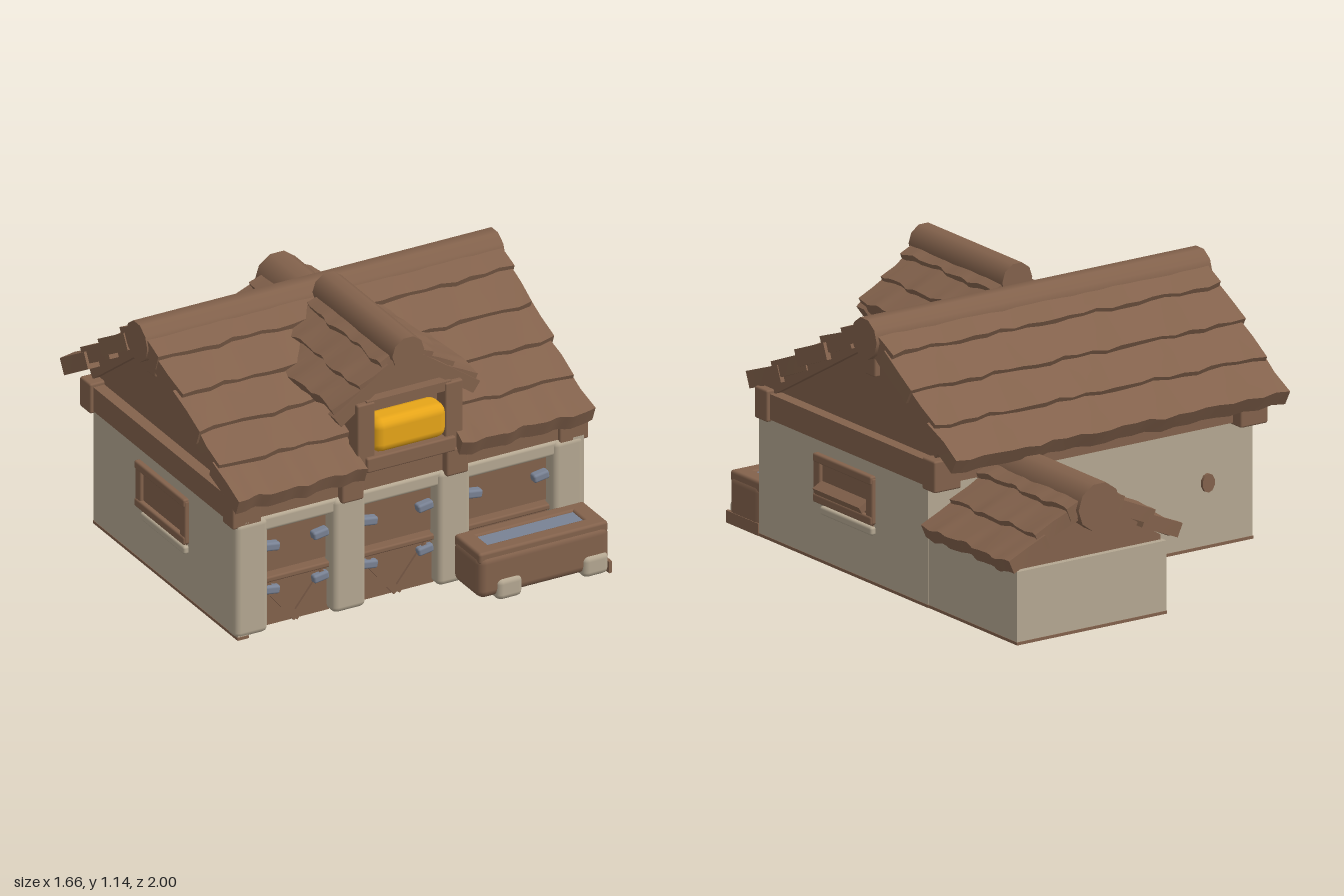
import * as THREE from 'three';
import { RoundedBoxGeometry } from 'three/addons/geometries/RoundedBoxGeometry.js';

const mat = (name, color) => Object.assign(new THREE.MeshStandardMaterial({ color }), { name });
const wood = mat('brown wood', 0x83624c);
const stone = mat('pale plaster', 0xb5a892);
const hay = mat('golden hay', 0xf0ac1a);
const metal = mat('blue grey metal', 0x798294);

const wave = (a, s) => Math.sin(a * 17 + s * 2.3) * 0.5 + Math.sin(a * 41 + s * 5.1) * 0.35 + Math.sin(a * 73 + s) * 0.15;

function add(parent, name, geometry, material, x = 0, y = 0, z = 0) {
  const m = new THREE.Mesh(geometry, material);
  m.name = name;
  m.position.set(x, y, z);
  parent.add(m);
  return m;
}

// Box given by its ranges; r > 0 rounds the edges
function box(parent, name, material, [x0, x1], [y0, y1], [z0, z1], r = 0) {
  const w = x1 - x0, h = y1 - y0, d = z1 - z0;
  const g = r ? new RoundedBoxGeometry(w, h, d, 2, r) : new THREE.BoxGeometry(w, h, d);
  return add(parent, name, g, material, (x0 + x1) / 2, (y0 + y1) / 2, (z0 + z1) / 2);
}

// Rough plank: long in x, its ragged lower edge at +z
function plankGeometry(len, t, depth, seed) {
  const g = new THREE.BoxGeometry(len, t, depth, 24, 1, 2);
  const p = g.attributes.position;
  for (let i = 0; i < p.count; i++) {
    const x = p.getX(i), k = p.getZ(i) / depth + 0.5;
    if (Math.abs(x) > len * 0.49) p.setX(i, x + Math.sign(x) * wave(k, seed) * 0.008);
    p.setY(i, p.getY(i) + wave(x, seed) * 0.007 * k);
    p.setZ(i, p.getZ(i) + wave(x, seed + 3) * 0.012 * k);
  }
  g.computeVertexNormals();
  return g;
}

// Gabled roof running along x; each side is [run, topY, eaveY, courses, gap],
// where gap is an x range left open in the lowest course
function roof(name, len, t, ridgeY, ridgeR, ridgeLen, sides) {
  const group = new THREE.Group();
  group.name = name;
  sides.forEach(([run, topY, eaveY, n, gap], s) => {
    const side = new THREE.Group();
    side.name = name + 'Side';
    side.rotation.y = s * Math.PI;
    for (let i = 0; i < n; i++) {
      const z0 = Math.max(0, (i - 0.3) / n) * run, z1 = (i + 1) / n * run;
      const at = z => topY + (eaveY - topY) * z / run;
      const y0 = at(z0) - 0.025, y1 = at(z1) + 0.006;
      const half = len / 2 - 0.008 * ((i + s) % 2);
      const spans = gap && i === n - 1 ? [[-half, gap[0]], [gap[1], half]] : [[-half, half]];
      for (const [a, b] of spans) {
        const m = add(side, 'shinglePlank', plankGeometry(b - a, t, Math.hypot(y1 - y0, z1 - z0), i + s * 7 + a),
          wood, (a + b) / 2, (y0 + y1) / 2 - t / 2, (z0 + z1) / 2);
        m.rotation.x = Math.atan2(y0 - y1, z1 - z0);
      }
    }
    group.add(side);
  });
  const ridge = new THREE.CylinderGeometry(ridgeR, ridgeR, ridgeLen, 10, 8).rotateZ(Math.PI / 2);
  add(group, 'ridgeLog', ridge, wood, 0, ridgeY, 0);
  return group;
}

// Flat wall cut to an outline, extruded forward
function panel(points, depth) {
  return new THREE.ExtrudeGeometry(new THREE.Shape(points.map(p => new THREE.Vector2(...p))), { depth, bevelEnabled: false });
}

function mainHouse(g) {
  // Side walls with timber lining inside, open underneath
  for (const s of [-1, 1]) {
    const xr = (a, b) => s > 0 ? [a, b] : [-b, -a];
    box(g, 'sideWall', stone, xr(0.73, 0.778), [0.012, 0.51], [-0.365, 0.78]);
    box(g, 'wallLining', wood, xr(0.71, 0.73), [0, 0.51], [-0.33, 0.74]);
    box(g, 'groundSill', wood, xr(0.73, 0.78), [0, 0.012], [-0.368, 0.783]);
    box(g, 'sideBeam', wood, xr(0.7, 0.785), [0.5, 0.605], [-0.4, 0.74]);
    for (const z of [-0.4, 0.735]) box(g, 'beamEnd', wood, xr(0.67, 0.8), [0.49, 0.62], [z - 0.04, z + 0.045], 0.008);
    // Recessed gable with king post and rafters
    const outline = [[0.4, 0.58], [-0.76, 0.58], [-0.76, 0.62], [-0.05, 1.01], [0.4, 0.71]];
    add(g, 'gable', panel(outline, 0.04), wood, s > 0 ? 0.695 : -0.735).rotation.y = Math.PI / 2;
    box(g, 'kingPost', wood, xr(0.72, 0.76), [0.84, 1], [0.02, 0.09], 0.008);
    for (const [z, y, l, a] of [[0.42, 0.79, 0.84, 0.515], [-0.19, 0.81, 0.56, -0.64]]) {
      const rafter = box(g, 'gableRafter', wood, xr(0.72, 0.765), [y - 0.03, y + 0.03], [z - l / 2, z + l / 2]);
      rafter.rotation.x = a;
    }
  }
  box(g, 'backWall', stone, [-0.775, 0.775], [0.012, 0.51], [-0.365, -0.33]);
  box(g, 'backLining', wood, [-0.73, 0.73], [0, 0.51], [-0.33, -0.315]);
  box(g, 'backSill', wood, [-0.778, 0.778], [0, 0.012], [-0.368, -0.33]);
  box(g, 'backBeam', wood, [-0.77, 0.77], [0.5, 0.605], [-0.385, -0.31]);
  const peg = add(g, 'backWallPeg', new THREE.CylinderGeometry(0.03, 0.03, 0.02, 10).rotateX(Math.PI / 2), wood, -0.56, 0.27, -0.368);
  peg.scale.y = 1.3;

  // Front pillars, lintel and beams
  for (const [a, b] of [[-0.79, -0.64], [-0.35, -0.2], [0.12, 0.27], [0.64, 0.778]]) {
    box(g, 'frontPillar', stone, [a, b], [0.005, 0.51], [0.7, 0.785], 0.025);
  }
  box(g, 'lintel', stone, [-0.77, 0.77], [0.445, 0.51], [0.71, 0.775], 0.015);
  box(g, 'frontBeam', wood, [-0.77, 0.77], [0.505, 0.61], [0.7, 0.765]);
  for (const x of [-0.27, 0.2]) box(g, 'frontBracket', wood, [x - 0.05, x + 0.05], [0.49, 0.61], [0.72, 0.8], 0.01);

  // Split stall doors with rounded backs, braces and hinges
  for (const [a, b] of [[-0.65, -0.34], [-0.21, 0.13], [0.26, 0.65]]) {
    const mid = (a + b) / 2, w = b - a;
    box(g, 'stallBack', wood, [mid - 0.23, mid + 0.23], [0, 0.5], [0.54, 0.7], 0.05);
    box(g, 'upperDoor', wood, [a, b], [0.235, 0.46], [0.69, 0.72]);
    box(g, 'lowerDoor', wood, [a, b], [0.005, 0.215], [0.69, 0.73]);
    box(g, 'doorCap', wood, [a, b], [0.2, 0.225], [0.69, 0.75], 0.008);
    for (const s of [-1, 1]) {
      const bx = mid + s * w * 0.2;
      box(g, 'doorBrace', wood, [bx - 0.11, bx + 0.11], [0.08, 0.115], [0.725, 0.74]).rotation.z = s * 0.9;
      for (const y of [0.165, 0.355]) {
        const x = mid + s * (w / 2 - 0.045);
        box(g, 'hinge', metal, [x - 0.035, x + 0.035], [y - 0.018, y + 0.018], [0.715, 0.755], 0.01).rotation.z = s * 0.15;
      }
    }
  }

  // Side windows with frame, sill and shutter
  for (const s of [-1, 1]) {
    const win = new THREE.Group();
    win.name = 'sideWindow';
    box(win, 'windowPanel', wood, [0.772, 0.782], [0.24, 0.44], [0, 0.38]);
    for (const y of [0.265, 0.43]) box(win, 'windowRail', wood, [0.772, 0.802], [y - 0.018, y + 0.018], [-0.01, 0.385], 0.008);
    for (const z of [0.01, 0.365]) box(win, 'windowJamb', wood, [0.772, 0.797], [0.25, 0.44], [z - 0.022, z + 0.022], 0.008);
    box(win, 'windowSill', stone, [0.768, 0.8], [0.205, 0.24], [-0.01, 0.34], 0.01);
    if (s > 0) box(win, 'openShutter', wood, [0.775, 0.825], [0.3, 0.33], [0.03, 0.345]).rotation.z = -0.5;
    else {
      win.rotation.y = Math.PI;
      win.position.z = 0.38;
    }
    g.add(win);
  }

  const r = roof('mainRoof', 1.6, 0.07, 1.0, 0.085, 1.61, [[0.79, 1.085, 0.65, 5, [-0.22, 0.215]], [0.6, 1.085, 0.65, 4]]);
  r.position.set(-0.015, 0, 0.05);
  g.add(r);
}

function dormer(g) {
  for (const x of [-0.205, 0.19]) {
    box(g, 'dormerSide', wood, [x - 0.025, x + 0.025], [0.6, 0.9], [0.3, 0.74]);
    box(g, 'dormerPost', wood, [x - 0.04, x + 0.04], [0.6, 0.9], [0.715, 0.79], 0.008);
  }
  box(g, 'dormerSill', wood, [-0.21, 0.19], [0.6, 0.665], [0.68, 0.805], 0.008);
  box(g, 'dormerHeader', wood, [-0.2, 0.18], [0.865, 0.905], [0.7, 0.785]);
  box(g, 'loftBack', wood, [-0.19, 0.18], [0.62, 0.88], [0.68, 0.7]);
  box(g, 'hayBale', hay, [-0.172, 0.157], [0.666, 0.814], [0.68, 0.803], 0.04);
  add(g, 'dormerGable', panel([[-0.24, 0.88], [0.22, 0.88], [-0.01, 1.06]], 0.04), wood, 0, 0, 0.7);
  // Barge boards on the dormer front
  for (const s of [-1, 1]) {
    const x = -0.01 + s * 0.165;
    box(g, 'bargeBoard', wood, [x - 0.18, x + 0.18], [0.915, 0.97], [0.72, 0.77]).rotation.z = -s * 0.62;
  }
  const r = roof('dormerRoof', 0.61, 0.05, 1.07, 0.072, 0.635, [[0.315, 1.115, 0.89, 3], [0.315, 1.115, 0.89, 3]]);
  r.rotation.y = Math.PI / 2;
  r.position.set(-0.01, 0, 0.46);
  g.add(r);
}

function backExtension(g) {
  box(g, 'extensionWalls', stone, [0.06, 0.775], [0.012, 0.3], [-0.965, -0.36]);
  box(g, 'extensionFloor', wood, [0.058, 0.777], [0, 0.012], [-0.968, -0.36]);
  add(g, 'extensionGable', panel([[0.07, 0.28], [0.76, 0.28], [0.76, 0.32], [0.41, 0.54], [0.07, 0.32]], 0.05), wood, 0, 0, -0.94);
  const r = roof('extensionRoof', 0.6, 0.06, 0.51, 0.1, 0.64, [[0.41, 0.605, 0.35, 3], [0.41, 0.605, 0.35, 3]]);
  r.rotation.y = Math.PI / 2;
  r.position.set(0.405, 0, -0.68);
  g.add(r);
}

function trough(g) {
  box(g, 'troughBody', wood, [0.19, 0.78], [0.018, 0.205], [0.77, 0.988], 0.035);
  for (const z of [[0.775, 0.83], [0.915, 0.98]]) box(g, 'troughRim', wood, [0.195, 0.775], [0.17, 0.22], z, 0.012);
  for (const x of [[0.195, 0.27], [0.7, 0.775]]) box(g, 'troughRim', wood, x, [0.17, 0.22], [0.775, 0.98], 0.012);
  box(g, 'troughWater', metal, [0.26, 0.71], [0.203, 0.211], [0.82, 0.925]);
  for (const x of [0.325, 0.712]) box(g, 'troughFoot', stone, [x - 0.058, x + 0.058], [0, 0.095], [0.8, 1.0], 0.025);
  box(g, 'troughSkid', wood, [0.768, 0.782], [0, 0.05], [0.78, 0.998]);
}

export function createModel() {
  const root = new THREE.Group();
  root.name = 'stable';
  for (const [name, build] of Object.entries({ mainHouse, dormer, backExtension, trough })) {
    const g = new THREE.Group();
    g.name = name;
    build(g);
    root.add(g);
  }
  return root;
}
